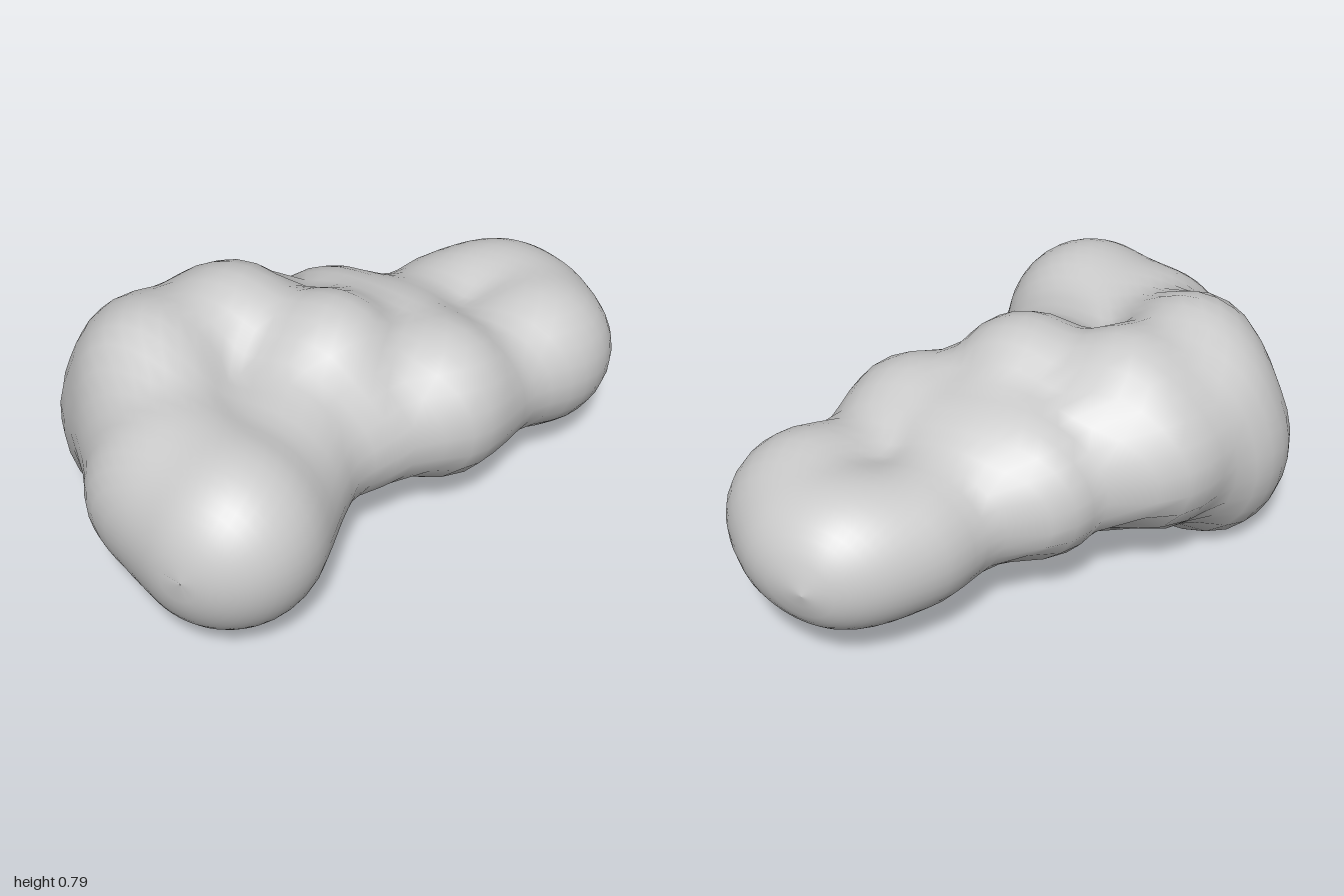
import * as THREE from 'three';

// Overlapping lobes that melt together into the lump: x, y, z, radius
const LOBES = [
  [0.08, 0.365, 0.68, 0.30], [0.13, 0.42, 0.72, 0.26],   // front bulge
  [-0.12, 0.40, 0.62, 0.29], [0.12, 0.38, 0.50, 0.225],
  [-0.46, 0.36, 0.28, 0.28], [-0.30, 0.39, 0.44, 0.27],  // right flank
  [-0.47, 0.235, 0.30, 0.23], [-0.34, 0.25, 0.30, 0.215], // lowest knobs
  [-0.22, 0.31, 0.44, 0.22], [-0.30, 0.36, 0.12, 0.22],
  [-0.37, 0.55, 0.36, 0.24], [-0.45, 0.51, 0.26, 0.225], // upper knobs
  [-0.24, 0.44, 0.48, 0.23],
  [-0.34, 0.45, 0.05, 0.27], [-0.38, 0.42, 0.02, 0.225], // rear shoulder
  [-0.26, 0.55, 0.07, 0.245],
  [0.06, 0.53, 0.04, 0.25], [0.00, 0.42, 0.10, 0.265],   // middle
  [0.07, 0.40, 0.34, 0.25], [0.20, 0.40, 0.10, 0.215],
  [0.34, 0.40, -0.15, 0.265], [0.43, 0.36, -0.30, 0.18], // left flank
  [0.00, 0.415, -0.20, 0.26], [-0.11, 0.40, -0.26, 0.23], // waist
  [0.15, 0.38, -0.26, 0.26], [0.10, 0.36, -0.40, 0.21], [0.40, 0.35, -0.42, 0.195],
  [0.14, 0.355, -0.57, 0.215], [0.48, 0.36, -0.54, 0.22], // back bulge
  [0.495, 0.355, -0.62, 0.245], [0.20, 0.36, -0.68, 0.21],
  [0.30, 0.36, -0.75, 0.235], [0.42, 0.36, -0.75, 0.195],
];
const BLEND = 0.08;

// Centre line of the cross-sections: z, x, y
const SPINE = [
  [-1, 0.30, 0.36], [-0.6, 0.30, 0.36], [-0.2, 0.10, 0.40], [0.1, -0.10, 0.42],
  [0.3, -0.20, 0.38], [0.6, -0.05, 0.38], [1, 0.12, 0.41],
];

// Distance to the smoothly blended lobes
function distance(x, y, z) {
  let d = Infinity;
  for (const [cx, cy, cz, r] of LOBES) {
    const s = Math.hypot(x - cx, y - cy, z - cz) - r;
    const h = Math.max(BLEND - Math.abs(d - s), 0) / BLEND;
    d = Math.min(d, s) - h * h * BLEND / 4;
  }
  return d;
}

function spineAt(z) {
  let i = 0;
  while (i < SPINE.length - 2 && z > SPINE[i + 1][0]) i++;
  const [a, b] = [SPINE[i], SPINE[i + 1]];
  const t = (z - a[0]) / (b[0] - a[0]);
  return [THREE.MathUtils.lerp(a[1], b[1], t), THREE.MathUtils.lerp(a[2], b[2], t)];
}

// Rings of points shrunk from outside onto the blended lobes
function lumpGeometry(rings, sides) {
  const positions = [];
  const indices = [];
  for (let i = 0; i <= rings; i++) {
    const z = -Math.cos((i / rings) * Math.PI);
    const [cx, cy] = spineAt(z);
    for (let j = 0; j < sides; j++) {
      const angle = (j / sides) * Math.PI * 2;
      const c = Math.cos(angle);
      const s = Math.sin(angle);
      let r = i === 0 || i === rings ? 0 : 0.9;
      for (let step = 0; step < 60 && r > 0; step++) {
        r = Math.max(0, r - distance(cx + c * r, cy + s * r, z));
      }
      positions.push(cx + c * r, cy + s * r, z);
      if (i < rings) {
        const a = i * sides + j;
        const b = i * sides + ((j + 1) % sides);
        indices.push(a, b, a + sides, b, b + sides, a + sides);
      }
    }
  }
  const geometry = new THREE.BufferGeometry();
  geometry.setAttribute('position', new THREE.Float32BufferAttribute(positions, 3));
  geometry.setIndex(indices);
  geometry.computeVertexNormals();
  return geometry;
}

export function createModel() {
  const group = new THREE.Group();
  group.name = 'lumpyRock';
  const material = new THREE.MeshStandardMaterial({ color: 0xcccccc });
  const body = new THREE.Mesh(lumpGeometry(48, 48), material);
  body.name = 'rockBody';

  // Rest on the ground, centred
  body.geometry.computeBoundingBox();
  const box = body.geometry.boundingBox;
  const centre = box.getCenter(new THREE.Vector3());
  body.geometry.translate(-centre.x, -box.min.y, -centre.z);
  group.add(body);
  return group;
}
